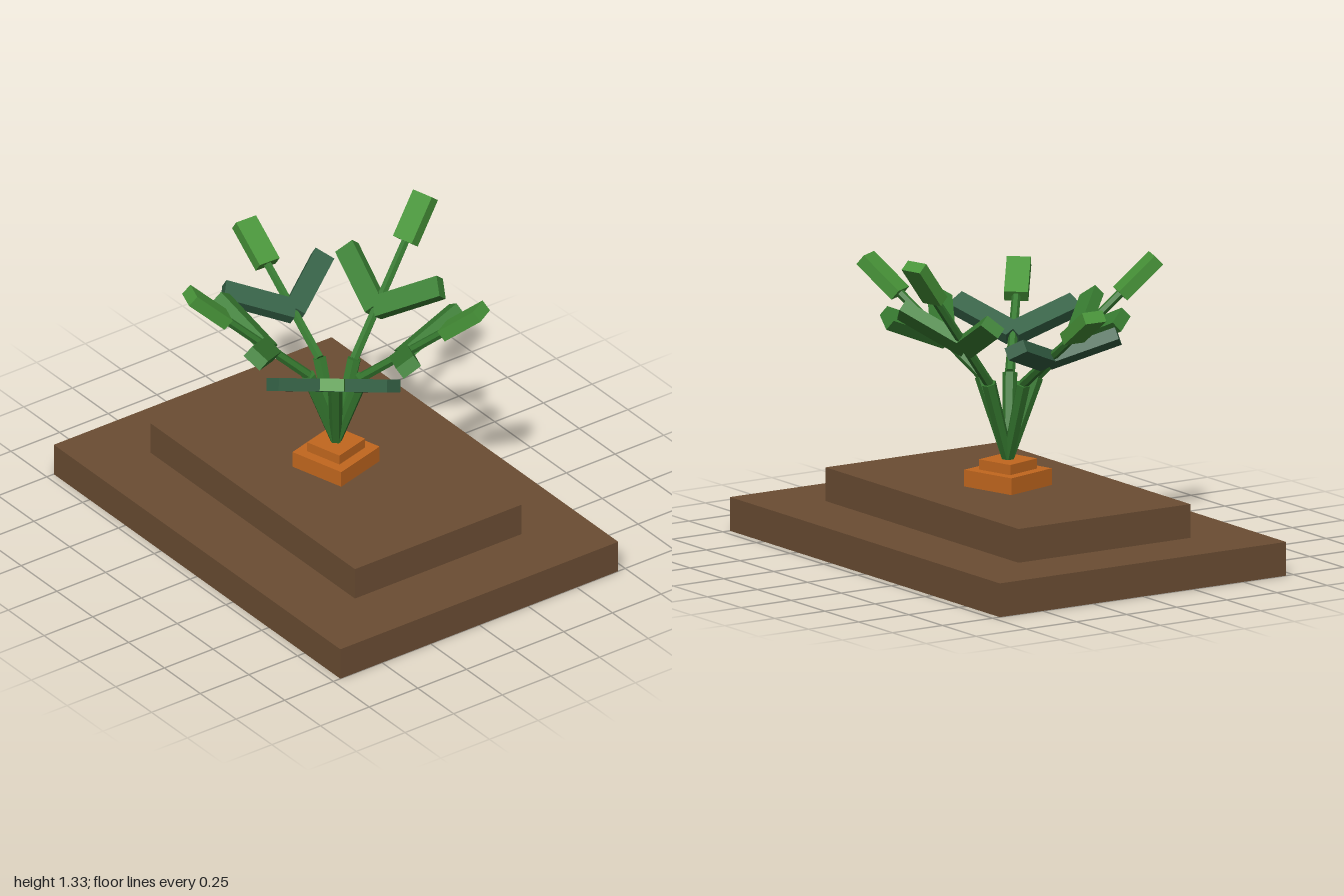
import * as THREE from 'three';

const mat = (name, color) => {
  const m = new THREE.MeshStandardMaterial({ color });
  m.name = name;
  return m;
};

export function createModel() {
  const soil = mat('soil brown', 0x6b4d33);
  const orange = mat('root orange', 0xc2671e);
  const stemGreen = mat('stem green', 0x35782f);
  const leafGreen = mat('leaf green', 0x3a8033);
  const tipGreen = mat('tip green', 0x489539);
  const darkGreen = mat('dark leaf green', 0x346045);

  const model = new THREE.Group();
  model.name = 'rootVegetableInSoil';

  const add = (parent, name, geometry, material, x = 0, y = 0, z = 0) => {
    const mesh = new THREE.Mesh(geometry, material);
    mesh.name = name;
    mesh.position.set(x, y, z);
    parent.add(mesh);
    return mesh;
  };
  const box = (w, h, d) => new THREE.BoxGeometry(w, h, d);

  // Faceted rod running along +x from the origin
  const rod = (r0, r1, length) => {
    const g = new THREE.CylinderGeometry(r1, r0, length, 6).toNonIndexed();
    g.rotateZ(-Math.PI / 2).translate(length / 2, 0, 0);
    g.computeVertexNormals();
    return g;
  };

  // Stepped soil bed
  add(model, 'soilBase', box(2, 0.143, 1.428), soil, 0, 0.0715, 0);
  add(model, 'soilMound', box(1.428, 0.143, 0.857), soil, 0, 0.2145, 0);

  // Root top poking out, slightly turned
  const root = new THREE.Group();
  root.name = 'rootTop';
  root.rotation.y = 0.27;
  model.add(root);
  add(root, 'rootLower', box(0.257, 0.071, 0.257), orange, 0, 0.3215, 0);
  add(root, 'rootCap', box(0.171, 0.043, 0.171), orange, 0, 0.3785, 0);

  // Five fronds: azimuth and elevation in degrees, upper length, side leaf colour
  const fronds = [
    [37.8, 32, 0.66, darkGreen],
    [109.7, 43, 0.70, leafGreen],
    [181.7, 35, 0.67, darkGreen],
    [255.2, 50.5, 0.74, leafGreen],
    [329.8, 40, 0.70, leafGreen],
  ];
  const rad = THREE.MathUtils.degToRad;
  const kneeX = 0.12, kneeY = 0.34;

  for (const [azimuth, elevation, length, sideMaterial] of fronds) {
    const frond = new THREE.Group();
    frond.name = 'frond';
    frond.position.y = 0.4;
    frond.rotation.y = -rad(azimuth);
    model.add(frond);

    const lower = add(frond, 'lowerStem', rod(0.024, 0.031, Math.hypot(kneeX, kneeY)), stemGreen);
    lower.rotation.z = Math.atan2(kneeY, kneeX);

    const upper = new THREE.Group();
    upper.name = 'upperFrond';
    upper.position.set(kneeX, kneeY, 0);
    upper.rotation.z = rad(elevation);
    frond.add(upper);
    add(upper, 'upperStem', rod(0.021, 0.018, length - 0.15), stemGreen);
    add(upper, 'tipLeaf', box(0.21, 0.052, 0.1), tipGreen, length - 0.105, 0, 0);

    // Pair of side leaves spreading in a V
    for (const side of [-1, 1]) {
      const leaf = add(upper, 'sideLeaf', box(0.31, 0.054, 0.09).translate(0.155, 0, 0), sideMaterial, 0.23, 0, 0);
      leaf.rotation.y = side * rad(54);
    }
  }
  return model;
}
